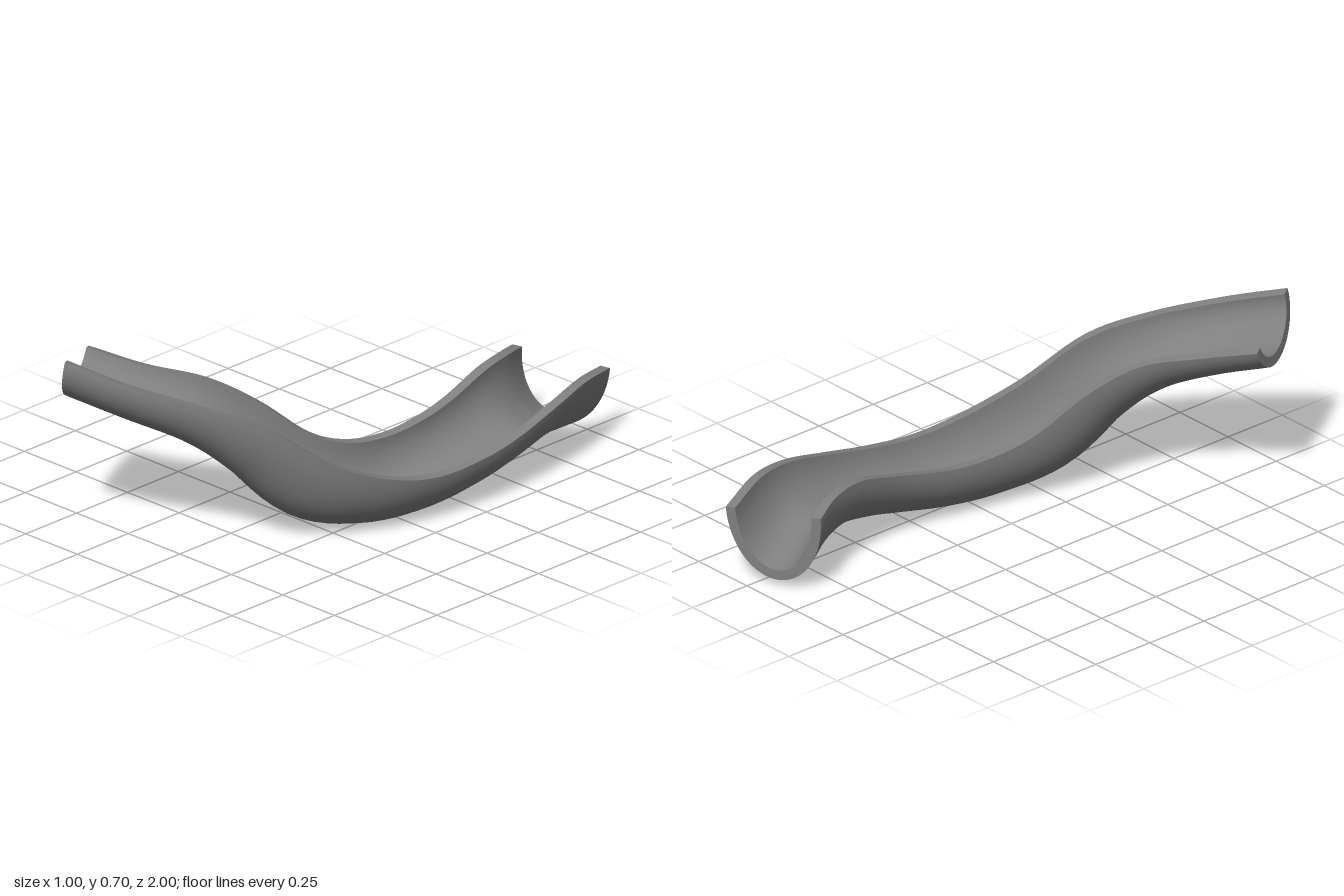
import * as THREE from 'three';

// Stations from the high front end to the low back end:
// outer rim x, y, z, inner rim x, y, z, channel depth, lean of the section with the slope
const STATIONS = [
  [-0.32, 0.705, 0.99, -0.5, 0.618, 0.69, 0.147, 0.6],
  [-0.12, 0.635, 0.875, -0.33, 0.57, 0.585, 0.154, 0.8],
  [0.08, 0.557, 0.705, -0.17, 0.525, 0.445, 0.183, 1],
  [0.225, 0.473, 0.54, -0.06, 0.425, 0.30, 0.225, 1],
  [0.345, 0.317, 0.345, 0.03, 0.29, 0.15, 0.255, 1],
  [0.425, 0.225, 0.14, 0.08, 0.235, 0.02, 0.226, 1],
  [0.468, 0.189, -0.05, 0.11, 0.222, -0.13, 0.195, 1],
  [0.492, 0.203, -0.25, 0.13, 0.243, -0.28, 0.182, 1],
  [0.497, 0.235, -0.42, 0.133, 0.277, -0.42, 0.182, 1],
  [0.478, 0.283, -0.63, 0.115, 0.323, -0.59, 0.2, 0.6],
  [0.433, 0.30, -0.81, 0.08, 0.325, -0.735, 0.235, 0.2],
  [0.36, 0.27, -1.0, 0.025, 0.30, -0.86, 0.255, 0],
];
const WALL = 0.036;
const LENGTH_STEPS = 66;
const ARC_STEPS = 32;

const curve = (pick) => new THREE.CatmullRomCurve3(STATIONS.map(pick), false, 'catmullrom');
const outerRim = curve((s) => new THREE.Vector3(s[0], s[1], s[2]));
const innerRim = curve((s) => new THREE.Vector3(s[3], s[4], s[5]));
const section = curve((s, i) => new THREE.Vector3(i, s[6], s[7])); // y is depth, z is lean

const middle = (t) => outerRim.getPoint(t).add(innerRim.getPoint(t)).multiplyScalar(0.5);

// Point on the half-round section: t along the run, a from outer to inner rim (0..1),
// r through the wall from outside (0) to inside (1)
function channelPoint(t, a, r) {
  const m = middle(t);
  const side = outerRim.getPoint(t).sub(m);
  const { y: depth, z: lean } = section.getPoint(t);
  const tangent = middle(Math.min(1, t + 0.005)).sub(middle(Math.max(0, t - 0.005)));
  tangent.y *= lean;
  const down = tangent.cross(side).normalize();
  const inset = WALL * r;
  const angle = a * Math.PI;
  return m
    .addScaledVector(side, (1 - inset / side.length()) * Math.cos(angle))
    .addScaledVector(down, (depth - inset) * Math.sin(angle));
}

// Grid surface from a rule of u and v, each 0..1
function surface(name, nu, nv, rule, flip) {
  const positions = [];
  const index = [];
  for (let i = 0; i <= nu; i++) {
    for (let j = 0; j <= nv; j++) positions.push(...rule(i / nu, j / nv).toArray());
  }
  for (let i = 0; i < nu; i++) {
    for (let j = 0; j < nv; j++) {
      const a = i * (nv + 1) + j;
      const b = a + nv + 1;
      if (flip) index.push(a, a + 1, b, b, a + 1, b + 1);
      else index.push(a, b, a + 1, b, b + 1, a + 1);
    }
  }
  const geometry = new THREE.BufferGeometry();
  geometry.setAttribute('position', new THREE.Float32BufferAttribute(positions, 3));
  geometry.setIndex(index);
  geometry.computeVertexNormals();
  const mesh = new THREE.Mesh(geometry, new THREE.MeshStandardMaterial({ color: 0x808080 }));
  mesh.name = name;
  return mesh;
}

export function createModel() {
  const slide = new THREE.Group();
  slide.name = 'curvedChannel';

  // Curved shell, outside and inside
  slide.add(surface('outerShell', LENGTH_STEPS, ARC_STEPS, (u, v) => channelPoint(u, v, 0), true));
  slide.add(surface('innerShell', LENGTH_STEPS, ARC_STEPS, (u, v) => channelPoint(u, v, 1), false));

  // Flat rims along both edges
  slide.add(surface('leftRim', LENGTH_STEPS, 1, (u, v) => channelPoint(u, 0, v), false));
  slide.add(surface('rightRim', LENGTH_STEPS, 1, (u, v) => channelPoint(u, 1, v), true));

  // Wall thickness at the two ends
  slide.add(surface('frontEnd', ARC_STEPS, 1, (u, v) => channelPoint(0, u, v), true));
  slide.add(surface('backEnd', ARC_STEPS, 1, (u, v) => channelPoint(1, u, v), false));

  // Rest the lowest point on the ground
  slide.position.y = -new THREE.Box3().setFromObject(slide).min.y;
  const model = new THREE.Group();
  model.name = 'slide';
  model.add(slide);
  return model;
}
